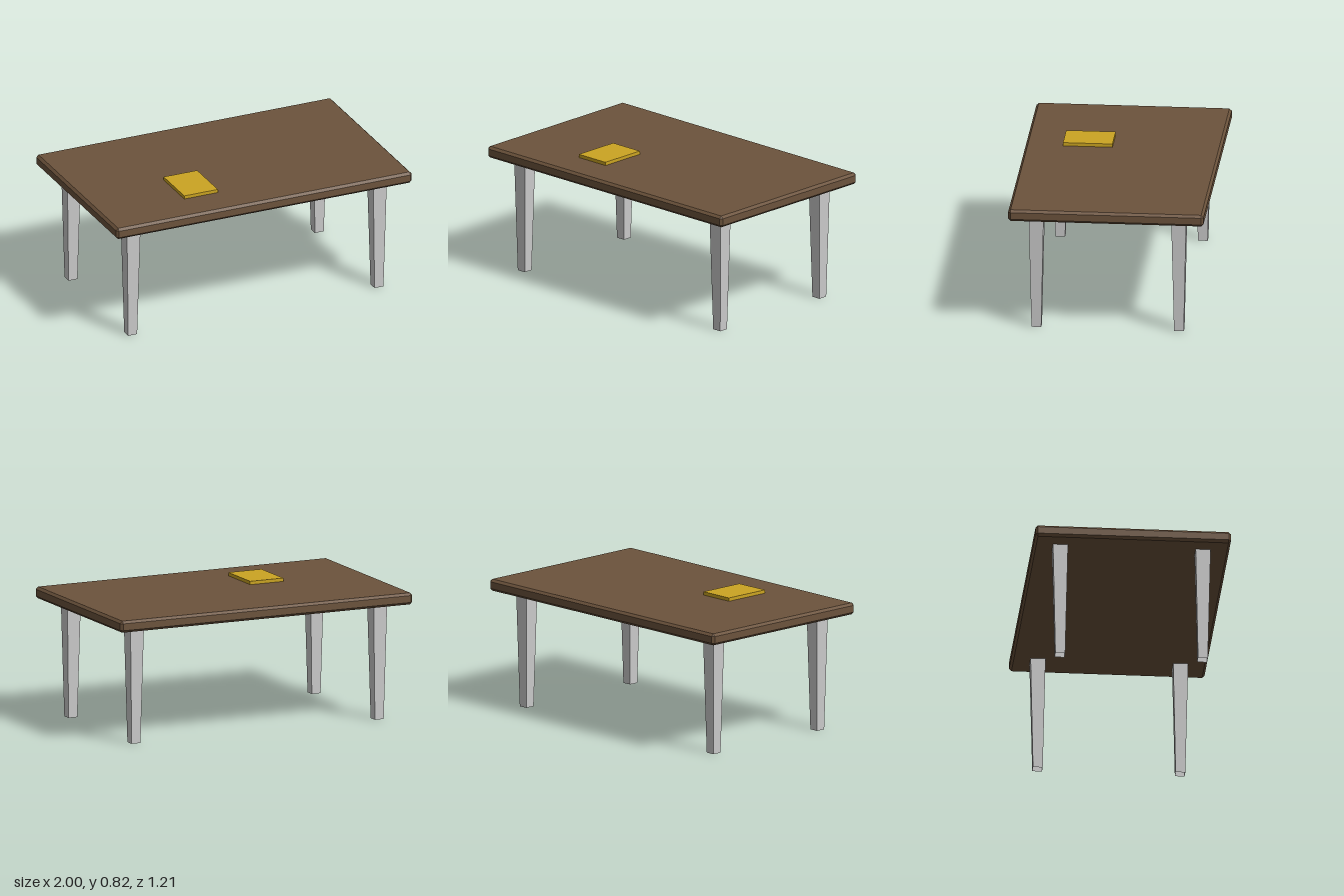
import * as THREE from 'three';
import { ConvexGeometry } from 'three/addons/geometries/ConvexGeometry.js';

// Box with every edge cut by a chamfer c
function chamferedBox(w, h, d, c) {
  const points = [];
  for (const sx of [-1, 1]) for (const sy of [-1, 1]) for (const sz of [-1, 1]) {
    const x = w / 2, y = h / 2, z = d / 2;
    points.push(
      new THREE.Vector3(sx * x, sy * (y - c), sz * (z - c)),
      new THREE.Vector3(sx * (x - c), sy * y, sz * (z - c)),
      new THREE.Vector3(sx * (x - c), sy * (y - c), sz * z)
    );
  }
  return new ConvexGeometry(points);
}

export function createModel() {
  const model = new THREE.Group();
  model.name = 'table';

  const wood = new THREE.MeshStandardMaterial({ color: 0x6c533c, flatShading: true });
  const yellow = new THREE.MeshStandardMaterial({ color: 0xcba422, flatShading: true });
  const grey = new THREE.MeshStandardMaterial({ color: 0xcccccc, flatShading: true, side: THREE.DoubleSide });

  const add = (name, geometry, material, x, y, z) => {
    const mesh = new THREE.Mesh(geometry, material);
    mesh.name = name;
    mesh.position.set(x, y, z);
    model.add(mesh);
  };

  // Tabletop slab with chamfered edges
  const underside = 0.73, top = 0.803;
  add('tabletop', chamferedBox(2, top - underside, 1.206, 0.015), wood, 0, (underside + top) / 2, 0);

  // Square legs, tapering to the floor, open at the ends
  const leg = new THREE.CylinderGeometry(0.046 * Math.SQRT2, 0.03 * Math.SQRT2, underside, 4, 1, true);
  leg.rotateY(Math.PI / 4);
  for (const [side, sx] of [['Left', 1], ['Right', -1]]) {
    for (const [end, sz] of [['front', 1], ['back', -1]]) {
      add(`${end}${side}Leg`, leg, grey, sx * 0.833, underside / 2, sz * 0.44);
    }
  }

  // Flat book lying on the table
  add('book', new THREE.BoxGeometry(0.227, 0.022, 0.305), yellow, -0.325, top + 0.01, 0.218);

  return model;
}
